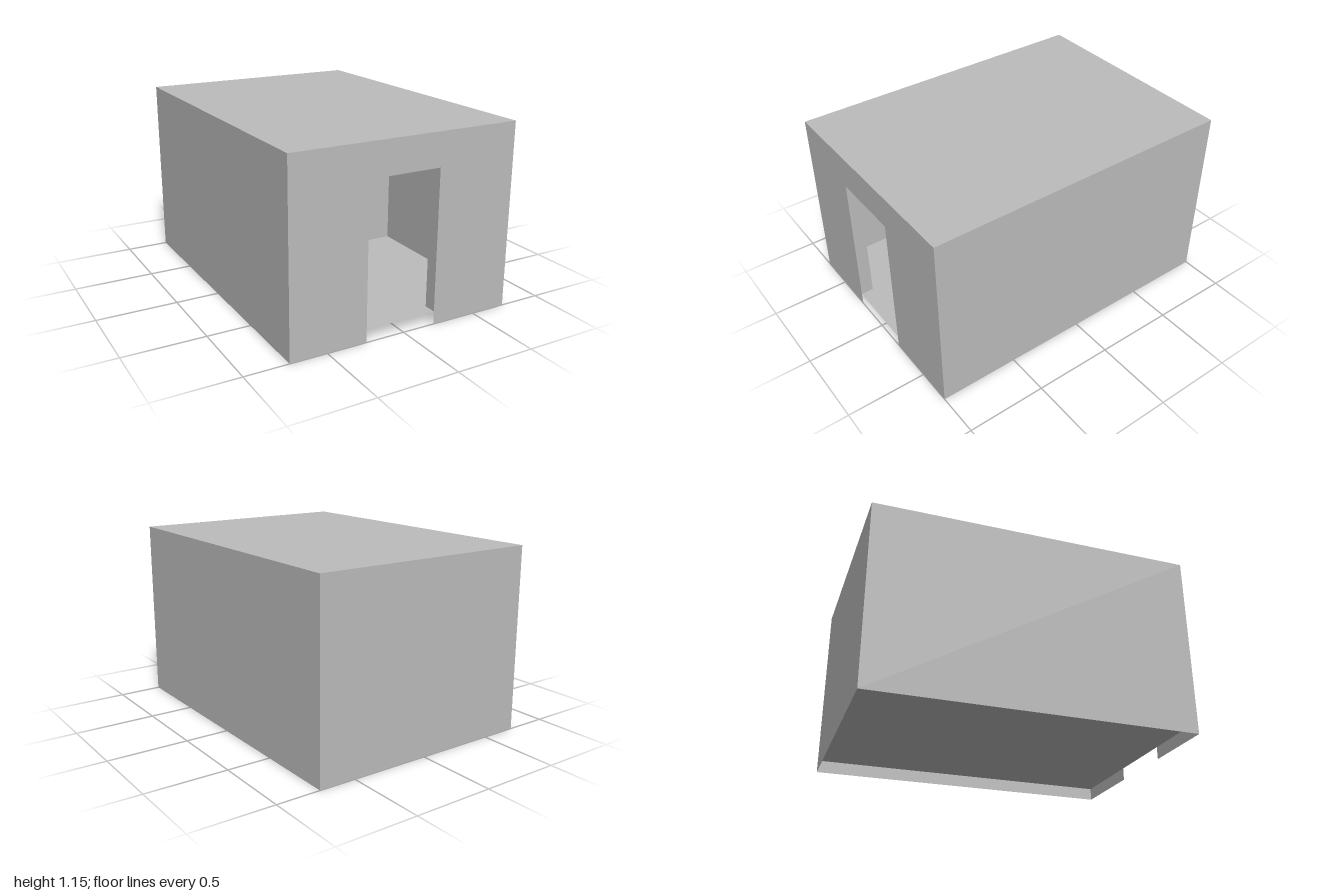
import * as THREE from 'three';

const W = 0.73, H = 1.155, D = 1;      // half width, height, half depth
const T = 0.08, FLOOR = 0.08;          // wall thickness, floor level
const DOOR = { x0: -0.25, x1: 0.21, top: 0.95 };
const INNER = { x0: -0.21, x1: 0.17, top: 0.93 };
const PART_Z = -0.145;                 // front of the partition

const grey = new THREE.MeshStandardMaterial({ color: 0xbcbcbc, side: THREE.DoubleSide });
grey.name = 'plain grey';

function add(parent, name, geometry, x = 0, y = 0, z = 0) {
  const mesh = new THREE.Mesh(geometry, grey);
  mesh.name = name;
  mesh.position.set(x, y, z);
  parent.add(mesh);
  return mesh;
}

// wall outline standing on y0 with a doorway cut up from its base
function doorwayShape(halfWidth, y0, y1, d) {
  const points = [
    [-halfWidth, y0], [d.x0, y0], [d.x0, d.top], [d.x1, d.top],
    [d.x1, y0], [halfWidth, y0], [halfWidth, y1], [-halfWidth, y1],
  ];
  return new THREE.Shape(points.map(([x, y]) => new THREE.Vector2(x, y)));
}

// four-sided lining: side walls, back wall and ceiling as sheets
function lining(parent, prefix, w, y0, y1, d) {
  const h = y1 - y0, cy = (y0 + y1) / 2;
  const inward = prefix === 'inner' ? -1 : 1;
  for (const s of [-1, 1]) {
    const side = s < 0 ? 'Right' : 'Left';
    add(parent, prefix + side + 'Wall', new THREE.PlaneGeometry(2 * d, h), s * w, cy, 0)
      .rotation.y = s * inward * Math.PI / 2;
  }
  add(parent, prefix + 'BackWall', new THREE.PlaneGeometry(2 * w, h), 0, cy, -d)
    .rotation.y = inward > 0 ? Math.PI : 0;
  add(parent, prefix + 'Ceiling', new THREE.PlaneGeometry(2 * w, 2 * d), 0, y1, 0)
    .rotation.x = -inward * Math.PI / 2;
}

export function createModel() {
  const model = new THREE.Group();
  model.name = 'room';

  // outer shell, open underneath
  lining(model, 'outer', W, 0, H, D);
  add(model, 'outerFrontWall', new THREE.ShapeGeometry(doorwayShape(W, 0, H, DOOR)), 0, 0, D);

  // inner faces of the walls, above the floor
  lining(model, 'inner', W - T, FLOOR, H - T, D - T);
  const innerFront = new THREE.ShapeGeometry(doorwayShape(W - T, FLOOR, H - T, DOOR));
  innerFront.rotateY(Math.PI).scale(-1, 1, 1);
  // mirroring flips the corner order, so put it back
  const ix = innerFront.index;
  for (let i = 0; i < ix.count; i += 3) {
    const a = ix.getX(i);
    ix.setX(i, ix.getX(i + 1));
    ix.setX(i + 1, a);
  }
  innerFront.computeVertexNormals();
  add(model, 'innerFrontWall', innerFront, 0, 0, D - T);

  // raised floor sheet
  add(model, 'floor', new THREE.PlaneGeometry(2 * W, 2 * D), 0, FLOOR, 0).rotation.x = -Math.PI / 2;

  // doorway reveals
  const jambH = DOOR.top - FLOOR;
  for (const [name, x, turn] of [['rightJamb', DOOR.x0, 1], ['leftJamb', DOOR.x1, -1]]) {
    add(model, name, new THREE.PlaneGeometry(T, jambH), x, FLOOR + jambH / 2, D - T / 2)
      .rotation.y = turn * Math.PI / 2;
  }
  add(model, 'lintel', new THREE.PlaneGeometry(DOOR.x1 - DOOR.x0, T),
    (DOOR.x0 + DOOR.x1) / 2, DOOR.top, D - T / 2).rotation.x = Math.PI / 2;

  // partition with a smaller doorway
  add(model, 'partition', new THREE.ExtrudeGeometry(
    doorwayShape(W - T, FLOOR, H - T, INNER), { depth: T, bevelEnabled: false }), 0, 0, PART_Z - T);

  // slightly warped hanging panel in the inner doorway
  const pw = INNER.x1 - INNER.x0, ph = INNER.top - FLOOR;
  const panel = new THREE.PlaneGeometry(pw - 0.006, ph, 2, 4);
  const p = panel.attributes.position;
  for (let i = 0; i < p.count; i++) {
    p.setZ(i, 0.006 * Math.sin(i * 2.1));
  }
  panel.computeVertexNormals();
  add(model, 'hangingPanel', panel, INNER.x0 + pw / 2 - 0.003, FLOOR + ph / 2, PART_Z - T / 2);

  // narrow post leaning along the side wall
  const post = new THREE.BoxGeometry(0.03, 0.85, 0.03);
  post.translate(0, 0.425, 0);
  add(model, 'leaningPost', post, -W + T + 0.016, FLOOR, 0.01).rotation.x = 0.12;

  return model;
}
